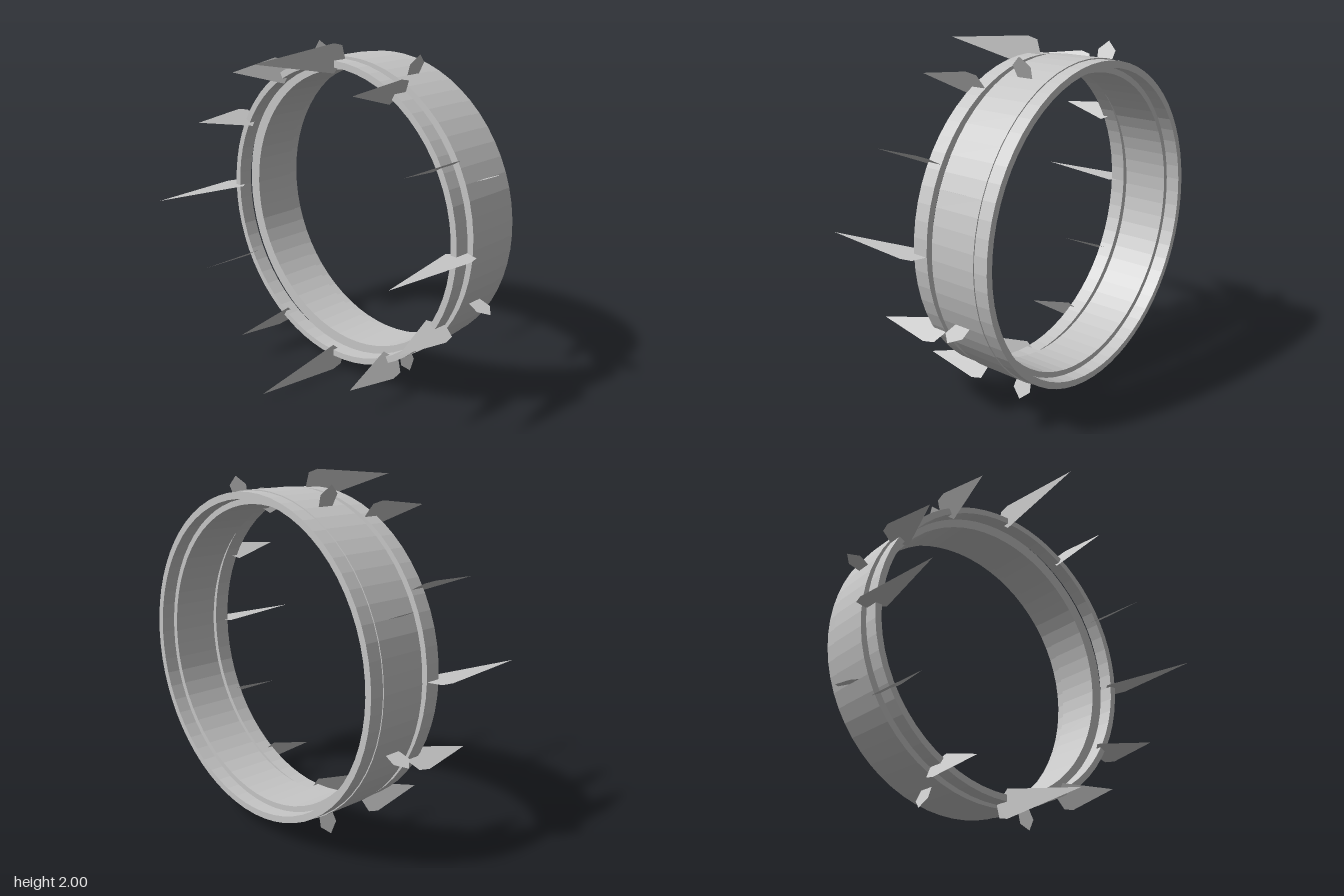
import * as THREE from 'three';

export function createModel() {
  const model = new THREE.Group();
  model.name = 'spikedRing';
  const steel = new THREE.MeshStandardMaterial({ color: 0xc6c6c6, flatShading: true, side: THREE.DoubleSide });
  steel.name = 'greySteel';

  // everything is arranged around the z axis, at a height of 1
  const wheel = new THREE.Group();
  wheel.name = 'wheel';
  wheel.position.y = 1;
  model.add(wheel);

  function addMesh(name, geometry, angle = 0) {
    const mesh = new THREE.Mesh(geometry, steel);
    mesh.name = name;
    mesh.rotation.z = angle;
    wheel.add(mesh);
  }

  // faceted hoop with a rectangular section
  function addHoop(name, inner, outer, back, front) {
    const profile = [[inner, back], [outer, back], [outer, front], [inner, front], [inner, back]]
      .map(([r, z]) => new THREE.Vector2(r, z));
    addMesh(name, new THREE.LatheGeometry(profile, 64).rotateX(Math.PI / 2));
  }
  addHoop('frontHoop', 0.867, 0.905, -0.13, -0.04);
  addHoop('mainHoop', 0.835, 0.911, -0.447, -0.172);
  addHoop('backHoop', 0.867, 0.905, -0.528, -0.447);

  // flat blade lying in a radial plane, outlined by [radius, z]
  function blade(points) {
    const shape = new THREE.Shape(points.map(([r, z]) => new THREE.Vector2(r, z)));
    return new THREE.ShapeGeometry(shape).rotateX(Math.PI / 2);
  }

  // forward spikes: a long one at each quarter, two short ones between
  const spike = (tipZ) => blade([
    [0.834, -0.04], [0.948, tipZ], [1, -0.04], [0.984, -0.105], [0.91, -0.127],
  ]);
  const longSpike = spike(0.527);
  const shortSpike = spike(0.297);
  for (let i = 0; i < 12; i++) {
    const long = i % 3 === 0;
    addMesh(long ? 'longSpike' : 'shortSpike', long ? longSpike : shortSpike, i * Math.PI / 6);
  }

  // small pointed studs around the main hoop
  const stud = blade([
    [0.9, -0.35], [0.98, -0.362], [1.033, -0.304], [0.98, -0.246], [0.9, -0.258],
  ]);
  for (let i = 0; i < 8; i++) addMesh('stud', stud, (i + 0.5) * Math.PI / 4);

  return model;
}
